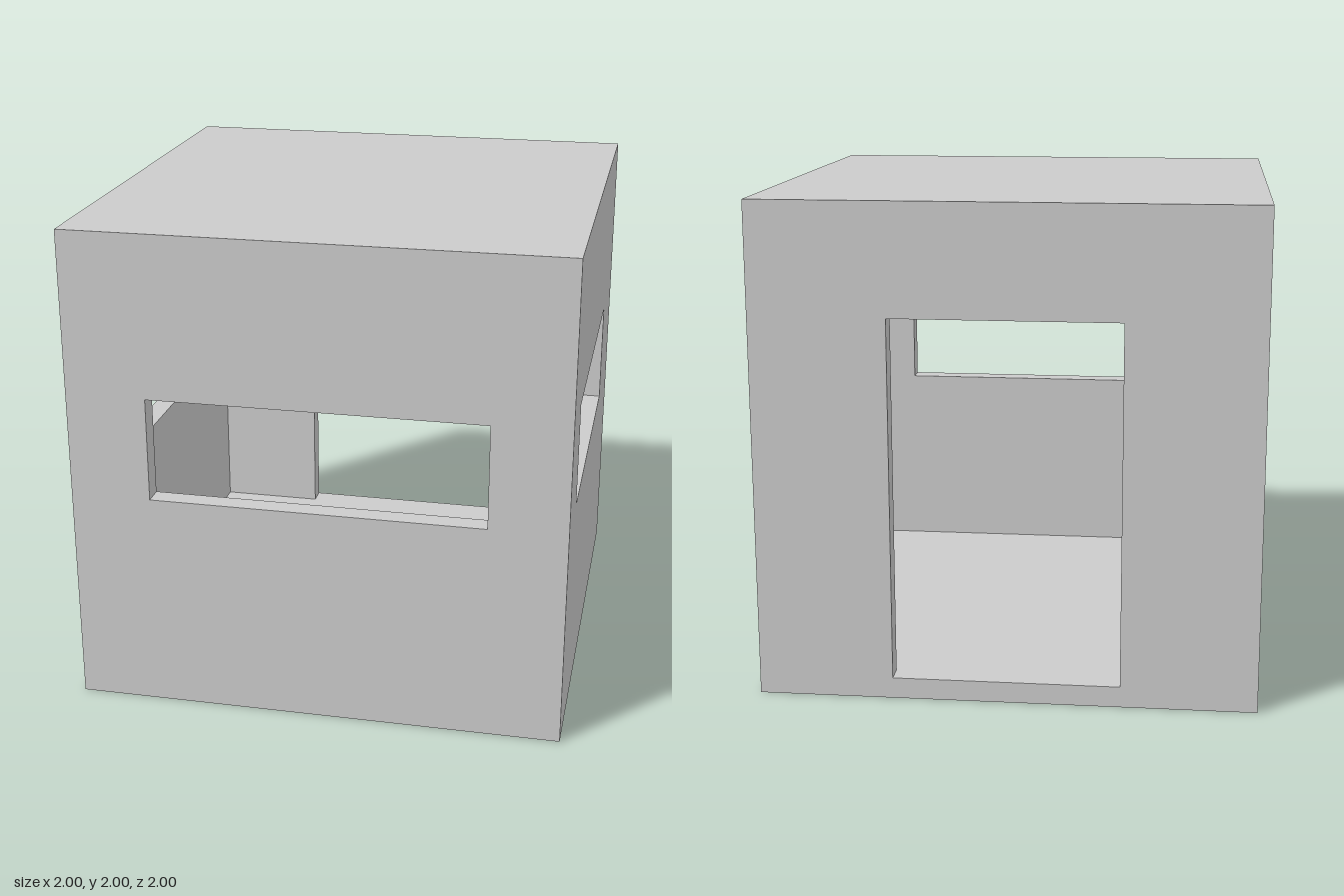
import * as THREE from 'three';

const T = 0.085; // wall thickness

// four corners of a rectangle at depth z, counter-clockwise from bottom left
const rect = (x0, x1, y0, y1, z) => [[x0, y0, z], [x1, y0, z], [x1, y1, z], [x0, y1, z]];

// panel facing +z: outer skin, optional lined opening, inner skin
function panelGeometry(opening) {
  const r = 1 - T;
  const outerRim = rect(-1, 1, -1, 1, 1);
  const innerRim = rect(-r, r, -r, r, r);
  const pos = [];
  const quad = (a, b, c, d) => pos.push(...a, ...b, ...c, ...a, ...c, ...d);
  if (opening) {
    const loops = [outerRim, rect(...opening, 1), rect(...opening, r), innerRim];
    for (let k = 0; k < 3; k++) {
      for (let i = 0; i < 4; i++) {
        const j = (i + 1) % 4;
        quad(loops[k][i], loops[k][j], loops[k + 1][j], loops[k + 1][i]);
      }
    }
  } else {
    quad(...outerRim);
    quad(...innerRim.reverse());
  }
  const g = new THREE.BufferGeometry();
  g.setAttribute('position', new THREE.Float32BufferAttribute(pos, 3));
  g.computeVertexNormals();
  return g;
}

export function createModel() {
  const group = new THREE.Group();
  group.name = 'hollowCabin';
  const grey = new THREE.MeshStandardMaterial({ color: 0xcccccc });
  grey.name = 'light grey';

  const addPanel = (name, opening, rx, ry) => {
    const mesh = new THREE.Mesh(panelGeometry(opening), grey);
    mesh.name = name;
    mesh.rotation.set(rx, ry, 0);
    mesh.position.y = 1;
    group.add(mesh);
  };

  // openings as x0, x1, y0, y1 about the panel centre
  const sill = -0.095, head = 0.332;
  addPanel('frontWallWithWindow', [-0.672, 0.686, sill, head], 0, 0);
  addPanel('backWallWithDoorway', [-0.456, 0.456, T - 1, 0.55], 0, Math.PI);
  addPanel('leftWallWithWindow', [-0.704, 0.548, sill, head], 0, Math.PI / 2);
  addPanel('rightWallWithWindow', [-0.548, 0.704, sill, head], 0, -Math.PI / 2);
  addPanel('roof', null, -Math.PI / 2, 0);
  addPanel('floor', null, Math.PI / 2, 0);
  return group;
}
